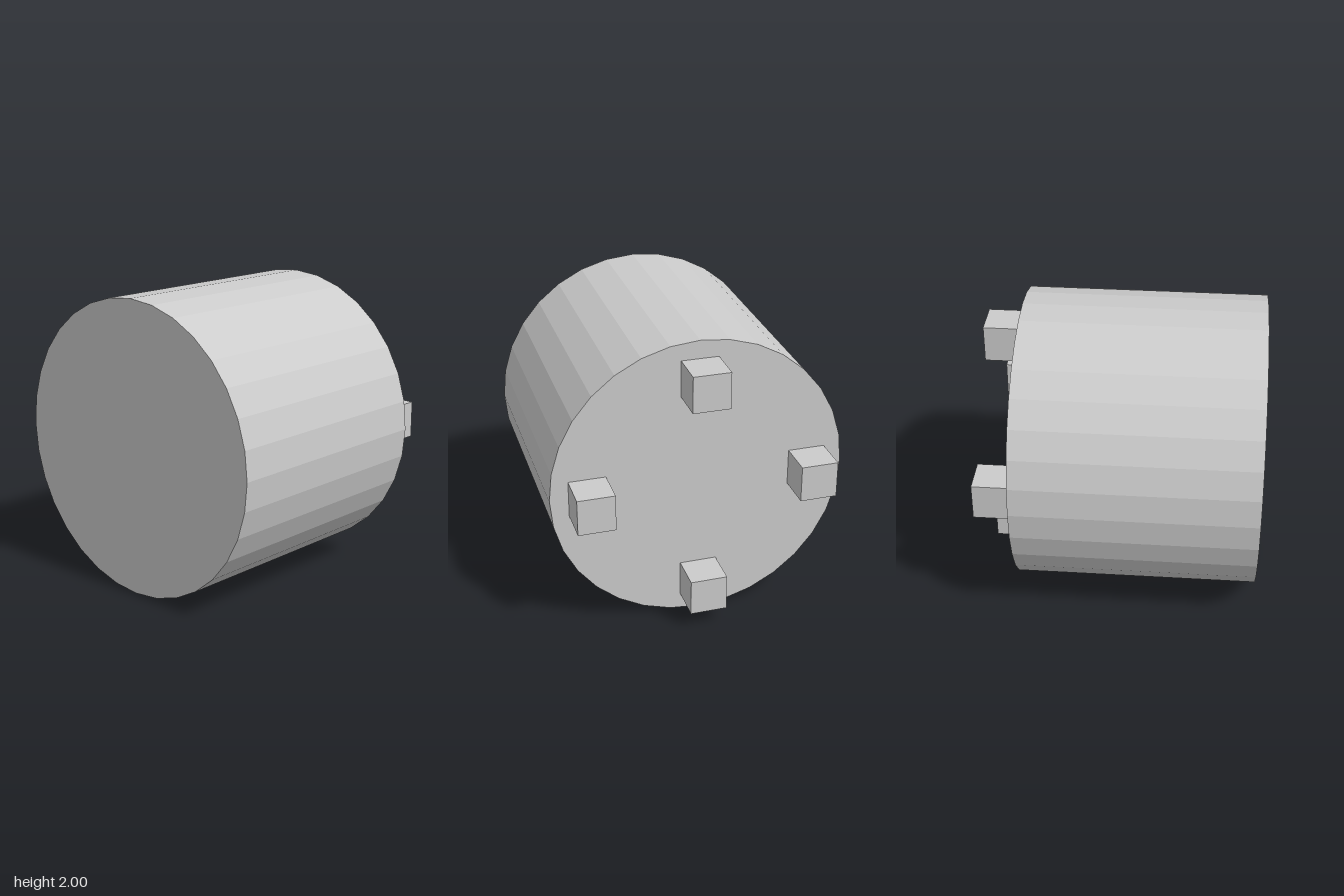
import * as THREE from 'three';

export function createModel() {
  const group = new THREE.Group();
  const material = new THREE.MeshStandardMaterial({ color: 0xcccccc, flatShading: true });

  // Faceted drum lying along z
  const length = 1.625, peg = 0.25;
  const back = -(length + peg) / 2 + peg;
  const drumGeometry = new THREE.CylinderGeometry(1, 1, length, 32);
  drumGeometry.rotateX(Math.PI / 2);
  const drum = new THREE.Mesh(drumGeometry, material);
  drum.name = 'drum';
  drum.position.set(0, 1, back + length / 2);
  group.add(drum);

  // Four cube pegs on the back face, upright and evenly spaced
  const pegGeometry = new THREE.BoxGeometry(peg, peg, peg);
  const pegs = { leftPeg: [1, 0], topPeg: [0, 1], rightPeg: [-1, 0], bottomPeg: [0, -1] };
  for (const [name, [x, y]] of Object.entries(pegs)) {
    const mesh = new THREE.Mesh(pegGeometry, material);
    mesh.name = name;
    mesh.position.set(x * 0.75, 1 + y * 0.75, back - peg / 2);
    group.add(mesh);
  }
  return group;
}
